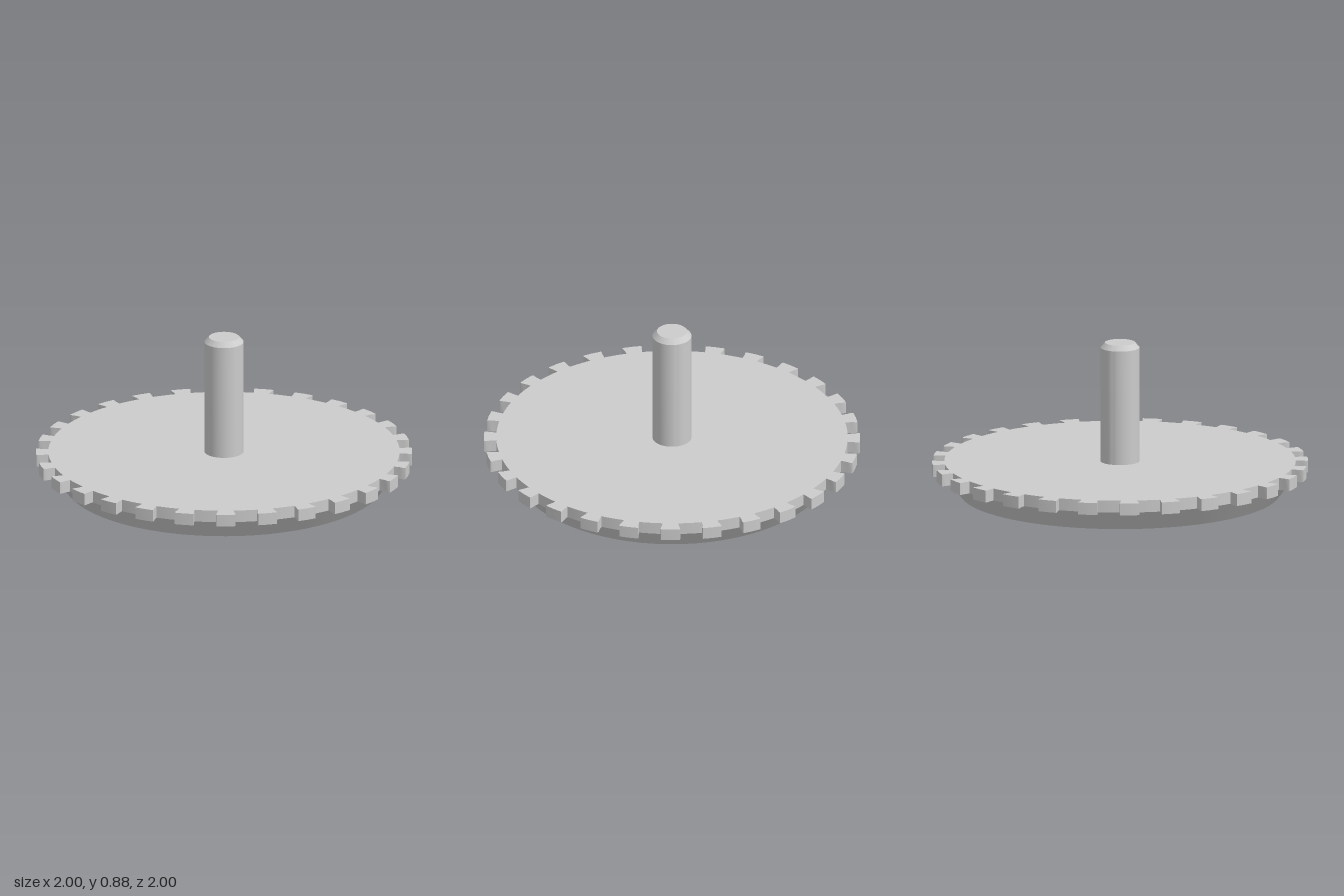
import * as THREE from 'three';
import { toCreasedNormals } from 'three/addons/utils/BufferGeometryUtils.js';

const TEETH = 28;
const PITCH = (Math.PI * 2) / TEETH;
const ROOT = 0.935;

export function createModel() {
  const group = new THREE.Group();
  const material = new THREE.MeshStandardMaterial({ color: 0xcccccc });

  const add = (name, geometry) => {
    const mesh = new THREE.Mesh(toCreasedNormals(geometry, Math.PI / 7), material);
    mesh.name = name;
    group.add(mesh);
  };
  const turned = (points) =>
    new THREE.LatheGeometry(points.map(([r, y]) => new THREE.Vector2(r, y)), 72);

  // Toothed rim plate: each tooth flares slightly towards its tip
  const outline = [];
  const polar = (r, a) => outline.push(new THREE.Vector2(r * Math.cos(a), r * Math.sin(a)));
  const flank = [[ROOT, 0.045], [0.968, 0.048], [0.99, 0.053], [1.0, 0.051]];
  for (let i = 0; i < TEETH; i++) {
    const a = Math.PI / 2 - 0.028 + i * PITCH;
    flank.forEach(([r, half]) => polar(r, a - half));
    polar(1.001, a);
    [...flank].reverse().forEach(([r, half]) => polar(r, a + half));
    // root arc up to the next tooth
    for (let k = 1; k < 4; k++) polar(ROOT, a + 0.045 + (k / 4) * (PITCH - 0.09));
  }
  const plate = new THREE.ExtrudeGeometry(new THREE.Shape(outline), {
    depth: 0.065,
    bevelEnabled: false,
  });
  plate.rotateX(-Math.PI / 2);
  plate.translate(0, 0.165, 0);
  add('toothedPlate', plate);

  // Tapered body under the plate
  add('taperedBody', turned([[0, 0.055], [0.85, 0.055], [0.935, 0.165]]));

  // Shaft with a chamfered top end
  add('shaft', turned([[0, 0], [0.104, 0], [0.104, 0.85], [0.08, 0.877], [0, 0.877]]));

  return group;
}
